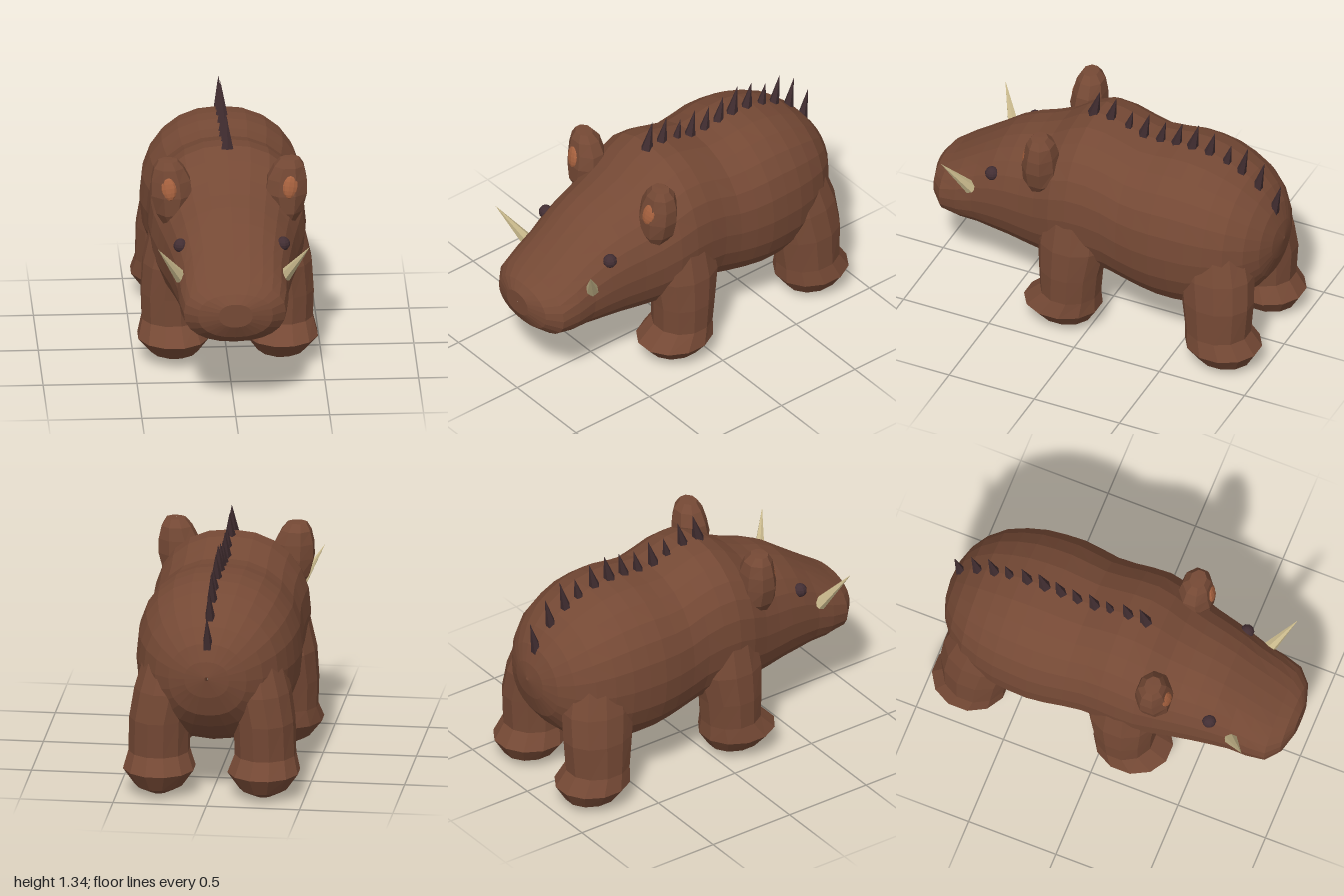
import * as THREE from 'three';

const mat = (name, color) => new THREE.MeshStandardMaterial({ name, color, flatShading: true });

// Skin a list of rings (equal point counts) into a faceted surface.
function loft(rings) {
  const n = rings[0].length, pos = [], idx = [];
  rings.forEach(r => r.forEach(p => pos.push(...p)));
  for (let r = 0; r < rings.length - 1; r++) {
    for (let j = 0; j < n; j++) {
      const a = r * n + j, b = r * n + (j + 1) % n, c = a + n, d = b + n;
      idx.push(a, c, b, b, c, d);
    }
  }
  const g = new THREE.BufferGeometry();
  g.setAttribute('position', new THREE.Float32BufferAttribute(pos, 3));
  g.setIndex(idx);
  const flat = g.toNonIndexed();
  flat.computeVertexNormals();
  return flat;
}

const spow = (v, e) => Math.sign(v) * Math.pow(Math.abs(v), e);

// Cross-section of the torso: z, top, bottom, half width
const bodyRing = ([z, top, bot, hw], n = 24) => Array.from({ length: n }, (_, j) => {
  const a = j / n * Math.PI * 2, e = 0.9;
  return [hw * spow(Math.sin(a), e), (top + bot) / 2 + (top - bot) / 2 * spow(Math.cos(a), e), z];
});

// Upright limb from rows of: y, cx, cz, rx, rz
const limb = (rows, s, n = 12) => loft(rows.map(([y, cx, cz, rx, rz]) =>
  Array.from({ length: n }, (_, j) => {
    const a = (j + 0.5) / n * Math.PI * 2;
    return [s * cx - rx * Math.sin(a), y, cz + rz * Math.cos(a)];
  })));

// Cone running from a base point to a tip
function spike(from, to, radius, sides, material, name) {
  const a = new THREE.Vector3(...from), d = new THREE.Vector3(...to).sub(a);
  const m = new THREE.Mesh(new THREE.ConeGeometry(radius, d.length(), sides), material);
  m.position.copy(a).addScaledVector(d, 0.5);
  m.quaternion.setFromUnitVectors(new THREE.Vector3(0, 1, 0), d.normalize());
  m.name = name;
  return m;
}

export function createModel() {
  const hide = mat('brown hide', 0x754935);
  const innerEar = mat('inner ear', 0xa8623f);
  const ivory = mat('tusk ivory', 0xc9b98c);
  const bristle = mat('dark bristle', 0x3f2c2f);
  const eyeDark = mat('dark eye', 0x422e33);

  const model = new THREE.Group();
  model.name = 'boar';
  const add = (geo, material, name, parent = model) => {
    const m = new THREE.Mesh(geo, material);
    m.name = name;
    parent.add(m);
    return m;
  };

  // Body and head in one skin, rump to snout
  const sections = [
    [-1, 0.72, 0.7, 0.01], [-0.985, 0.8, 0.6, 0.12], [-0.95, 0.89, 0.49, 0.21],
    [-0.89, 0.97, 0.41, 0.29], [-0.8, 1.05, 0.33, 0.36], [-0.7, 1.1, 0.28, 0.4],
    [-0.6, 1.135, 0.25, 0.425], [-0.5, 1.15, 0.24, 0.435], [-0.4, 1.15, 0.245, 0.44],
    [-0.3, 1.135, 0.26, 0.43], [-0.2, 1.13, 0.28, 0.415], [-0.1, 1.16, 0.305, 0.41],
    [0, 1.19, 0.31, 0.415], [0.1, 1.195, 0.31, 0.42], [0.2, 1.15, 0.305, 0.41],
    [0.3, 1.08, 0.305, 0.38], [0.4, 1.035, 0.315, 0.355], [0.5, 1.0, 0.33, 0.335],
    [0.6, 0.95, 0.34, 0.315], [0.7, 0.875, 0.355, 0.295], [0.8, 0.8, 0.365, 0.29],
    [0.9, 0.725, 0.39, 0.272], [0.965, 0.685, 0.44, 0.2], [1, 0.64, 0.51, 0.09],
    [1, 0.58, 0.578, 0.001],
  ];
  add(loft(sections.map(s => bodyRing(s))), hide, 'body and head');

  const frontLeg = [
    [0.01, 0.28, 0.14, 0.001, 0.001], [0.015, 0.28, 0.14, 0.05, 0.06], [0.055, 0.285, 0.15, 0.13, 0.15],
    [0.14, 0.29, 0.16, 0.195, 0.215], [0.23, 0.295, 0.115, 0.165, 0.165], [0.38, 0.3, 0.11, 0.165, 0.175],
    [0.55, 0.28, 0.1, 0.175, 0.2], [0.75, 0.24, 0.1, 0.17, 0.18], [0.85, 0.22, 0.1, 0.001, 0.001],
  ];
  const backLeg = [
    [0, 0.28, -0.78, 0.001, 0.001], [0.008, 0.28, -0.78, 0.05, 0.06], [0.05, 0.28, -0.78, 0.13, 0.15],
    [0.14, 0.28, -0.775, 0.195, 0.21], [0.23, 0.285, -0.745, 0.165, 0.18], [0.42, 0.28, -0.74, 0.165, 0.2],
    [0.58, 0.25, -0.72, 0.17, 0.21], [0.75, 0.22, -0.7, 0.15, 0.18], [0.85, 0.2, -0.68, 0.001, 0.001],
  ];
  const ear = [
    [0.8, 0.3, 0.3, 0.03, 0.03], [0.9, 0.31, 0.285, 0.085, 0.095], [1.0, 0.305, 0.285, 0.118, 0.1],
    [1.08, 0.31, 0.28, 0.112, 0.09], [1.15, 0.32, 0.28, 0.085, 0.075], [1.19, 0.325, 0.285, 0.055, 0.045],
    [1.192, 0.325, 0.285, 0.001, 0.001],
  ];

  for (const s of [1, -1]) {
    const side = s > 0 ? 'left' : 'right';
    add(limb(frontLeg, s), hide, side + ' front leg');
    add(limb(backLeg, s), hide, side + ' back leg');
    add(limb(ear, s, 8), hide, side + ' ear');

    // Oval pad on the front of the ear
    const pad = add(new THREE.SphereGeometry(1, 10, 8), innerEar, side + ' inner ear');
    pad.scale.set(0.042, 0.066, 0.02);
    pad.position.set(s * 0.325, 1.055, 0.36);
    pad.rotation.set(-0.2, s * 0.2, -s * 0.15);

    const eye = add(new THREE.SphereGeometry(0.038, 10, 8), eyeDark, side + ' eye');
    eye.position.set(s * 0.273, 0.82, 0.587);

    model.add(spike([s * 0.275, 0.685, 0.71], [s * 0.405, 0.895, 0.825], 0.036, 6, ivory, side + ' tusk'));
  }

  // Row of bristles along the spine, all leaning back
  const tips = [1.34, 1.325, 1.27, 1.28, 1.26, 1.28, 1.3, 1.28, 1.23, 1.24, 1.17, 1.05];
  const mane = new THREE.Group();
  mane.name = 'mane';
  tips.forEach((y, i) => {
    const z = 0.08 - i * 0.0965;
    const len = i > 8 ? 0.2 : 0.16;
    mane.add(spike([0, y - len, z + len * 0.24], [0, y, z], 0.034, 5, bristle, 'bristle'));
  });
  model.add(mane);
  return model;
}
